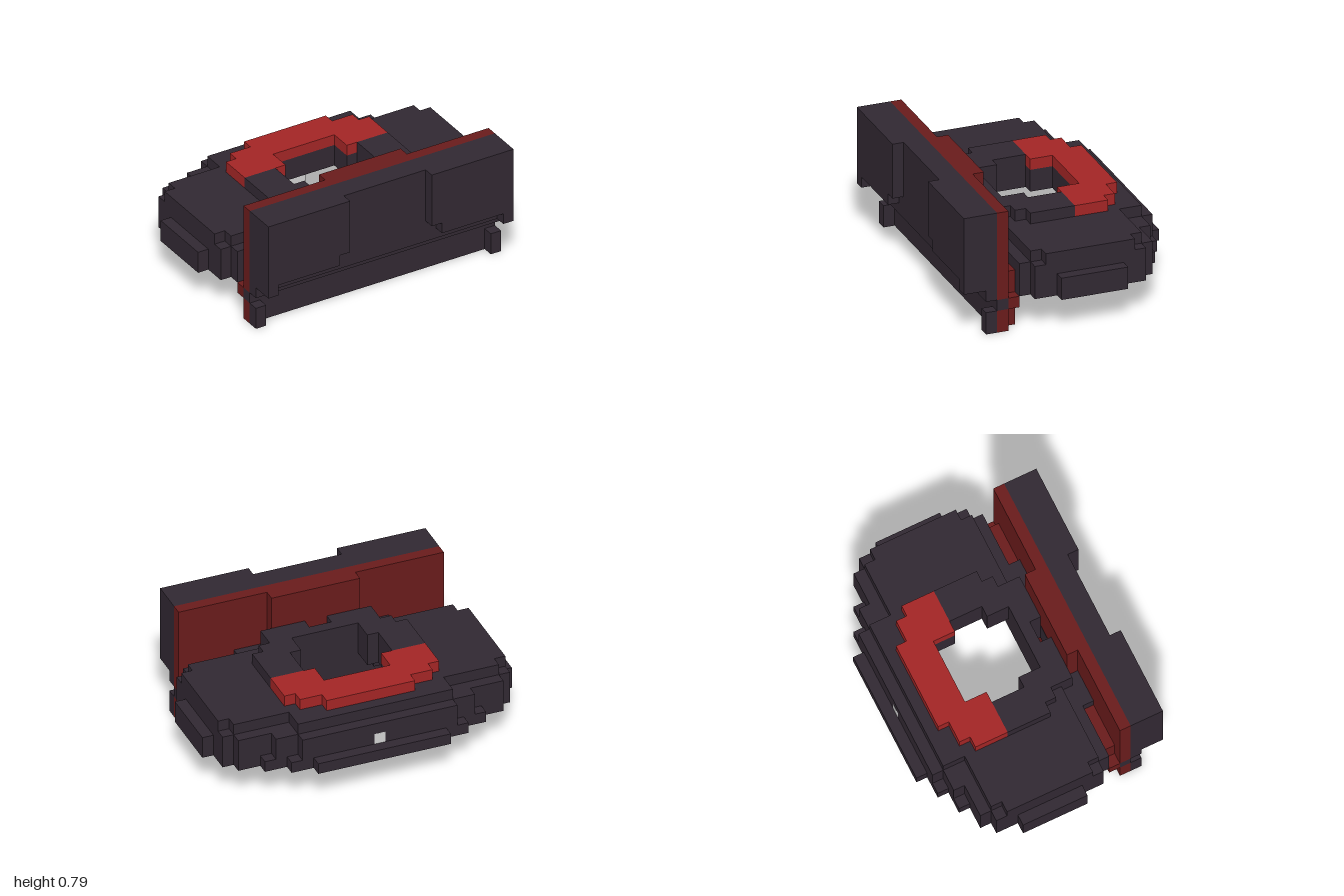
import * as THREE from 'three';

const U = 1 / 14; // one block

function material(name, color) {
  const m = new THREE.MeshStandardMaterial({ color });
  m.name = name;
  return m;
}

// Mirrored counter-clockwise outline from rows of [z0, z1, half width]
function outline(rows, Type) {
  const left = [];
  rows.forEach(([z0, z1, w]) => left.push([-w, z0], [-w, z1]));
  const right = left.map(([x, z]) => [-x, z]).reverse();
  return new Type([...left, ...right].map(([x, z]) => new THREE.Vector2(x * U, -z * U)));
}

export function createModel() {
  const dark = material('charcoal', 0x312832);
  const red = material('bright red', 0xa22525);
  const maroon = material('maroon', 0x691b1b);
  const grey = material('light grey', 0xd2d2d2);
  const model = new THREE.Group();
  model.name = 'model';

  function add(name, geometry, mat) {
    const mesh = new THREE.Mesh(geometry, mat);
    mesh.name = name;
    model.add(mesh);
  }
  function box(name, mat, x0, x1, y0, y1, z0, z1) {
    const g = new THREE.BoxGeometry((x1 - x0) * U, (y1 - y0) * U, (z1 - z0) * U);
    g.translate((x0 + x1) / 2 * U, (y0 + y1) / 2 * U, (z0 + z1) / 2 * U);
    add(name, g, mat);
  }
  function pair(name, mat, x0, x1, ...rest) {
    box(name + 'Left', mat, x0, x1, ...rest);
    box(name + 'Right', mat, -x1, -x0, ...rest);
  }
  function layer(name, mat, y0, y1, rows, holes = []) {
    const shape = outline(rows, THREE.Shape);
    shape.holes = holes.map((h) => outline(h, THREE.Path));
    // Hole paths run opposite to the outer outline
    const g = new THREE.ExtrudeGeometry(shape, { depth: (y1 - y0) * U, bevelEnabled: false });
    g.rotateX(-Math.PI / 2).translate(0, y0 * U, 0);
    add(name, g, mat);
  }

  // Rounded body, stacked in steps, with a well that widens downwards
  const slot = [[4, 4.98, 1]];
  const opening = [[-4, -2, 3], [-2, 1, 4], [1, 3, 3]];
  const middle = [[-9, -8, 7], [-8, -7, 9], [-7, -6, 12], [-6, 4, 13], [4, 5, 12]];
  layer('bodyRim', dark, 3, 4,
    [[-10, -9, 6], [-9, -8, 8], [-8, -7, 10], [-7, -6, 12], [-6, 4, 13], [4, 5, 12]],
    [[[-7, -6, 8], [-6, -4, 10], [-4, 1, 11], [1, 2, 10], [2, 3, 8]], slot]);
  layer('bodyLower', dark, 4, 5, middle,
    [[[-6, -5, 6], [-5, -3, 8], [-3, 1, 9], [1, 2, 7], [2, 3, 4]], slot]);
  layer('bodyMiddle', dark, 5, 6, middle, [opening, slot]);
  layer('bodyTop', dark, 6, 7,
    [[-8, -6, 7], [-6, -5, 12], [-5, 3, 13], [3, 4, 12]], [opening]);
  pair('sideBumper', dark, 13, 14, 3, 5, -4, 2);

  // Raised collar around the opening: dark at the front, red at the back
  pair('collarSide', dark, 4, 7, 7, 8, -2, 1);
  pair('collarShoulder', dark, 3, 7, 7, 8, 1, 2);
  pair('collarCorner', dark, 3, 6, 7, 8, 2, 3);
  box('collarFront', dark, -5, 5, 7, 8, 3, 4);
  pair('collarBridge', dark, 1, 5, 6, 8, 4, 5);
  layer('redCollar', red, 7, 8, [[-7, -6, 4], [-6, -5, 6], [-5, -4, 7]]);
  pair('redCollarArm', red, 3, 7, 7, 8, -4, -2);

  // Pale bar under the back and small stud on the back
  box('paleBar', grey, -2, 2, 2, 3, -8, -7);
  box('paleStud', grey, -0.5, 0.5, 4, 5, -9.01, -8.5);

  // Maroon lining of the front wall
  box('liningCentre', maroon, -4, 4, 3, 11, 5, 6);
  box('lining', maroon, -12, 12, 3, 11, 6, 7);
  box('liningFoot', maroon, -11, 11, 0, 5, 5, 6);
  pair('liningTab', maroon, 11, 12, 2, 3, 5, 6);
  pair('liningEnd', maroon, 11, 12, 0, 2, 6, 7);
  pair('wallBracket', dark, 4, 7, 5, 6, 5, 6);

  // Dark front wall with two proud panels
  box('wallFoot', dark, -11, 11, 0, 3, 6, 7);
  pair('wallFootEnd', dark, 11, 12, 2, 3, 6, 7);
  box('wallStep', dark, -12, 12, 3, 4, 7, 8);
  box('wallCentre', dark, -12, 12, 4, 11, 7, 9);
  pair('panel', dark, 4, 12, 6, 11, 9, 10);
  pair('panelLower', dark, 5, 12, 5, 6, 9, 10);
  pair('panelTip', dark, 11, 12, 4, 5, 9, 10);
  pair('footBlock', dark, 11, 12, 0, 2, 7, 8);

  return model;
}
